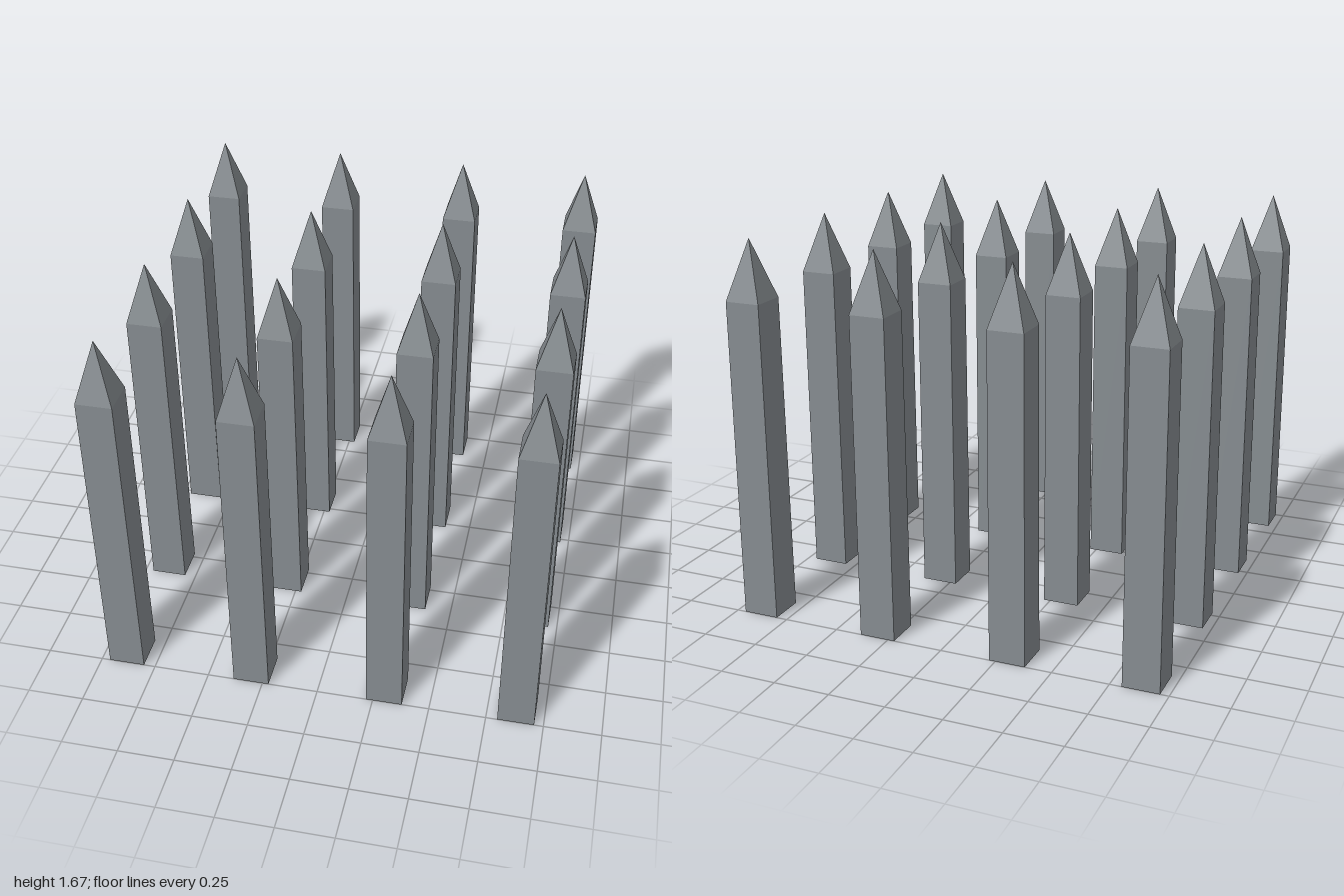
import * as THREE from 'three';

export function createModel() {
  const model = new THREE.Group();
  model.name = 'spikeField';
  const metal = new THREE.MeshStandardMaterial({ color: 0x868c90, flatShading: true });
  metal.name = 'greyMetal';

  const shaftHeight = 1.415, tipHeight = 0.26;
  const toRadius = Math.SQRT1_2; // side length to corner radius of a square

  // Square shaft, very slightly tapered, closed at the foot
  const shaftGeo = new THREE.CylinderGeometry(0.156 * toRadius, 0.16 * toRadius, shaftHeight, 4, 1, false, Math.PI / 4);
  shaftGeo.translate(0, shaftHeight / 2, 0);

  // Pyramid point
  const tipGeo = new THREE.ConeGeometry(0.156 * toRadius, tipHeight, 4, 1, true, Math.PI / 4);
  tipGeo.translate(0, shaftHeight + tipHeight / 2, 0);

  // Four by four grid of spikes
  for (const x of [-0.882, -0.302, 0.3, 0.88]) {
    for (const z of [-0.92, -0.306, 0.306, 0.92]) {
      const spike = new THREE.Group();
      spike.name = 'spike';
      const shaft = new THREE.Mesh(shaftGeo, metal);
      shaft.name = 'shaft';
      const tip = new THREE.Mesh(tipGeo, metal);
      tip.name = 'tip';
      spike.add(shaft, tip);
      spike.position.set(x, 0, z);
      model.add(spike);
    }
  }
  return model;
}
